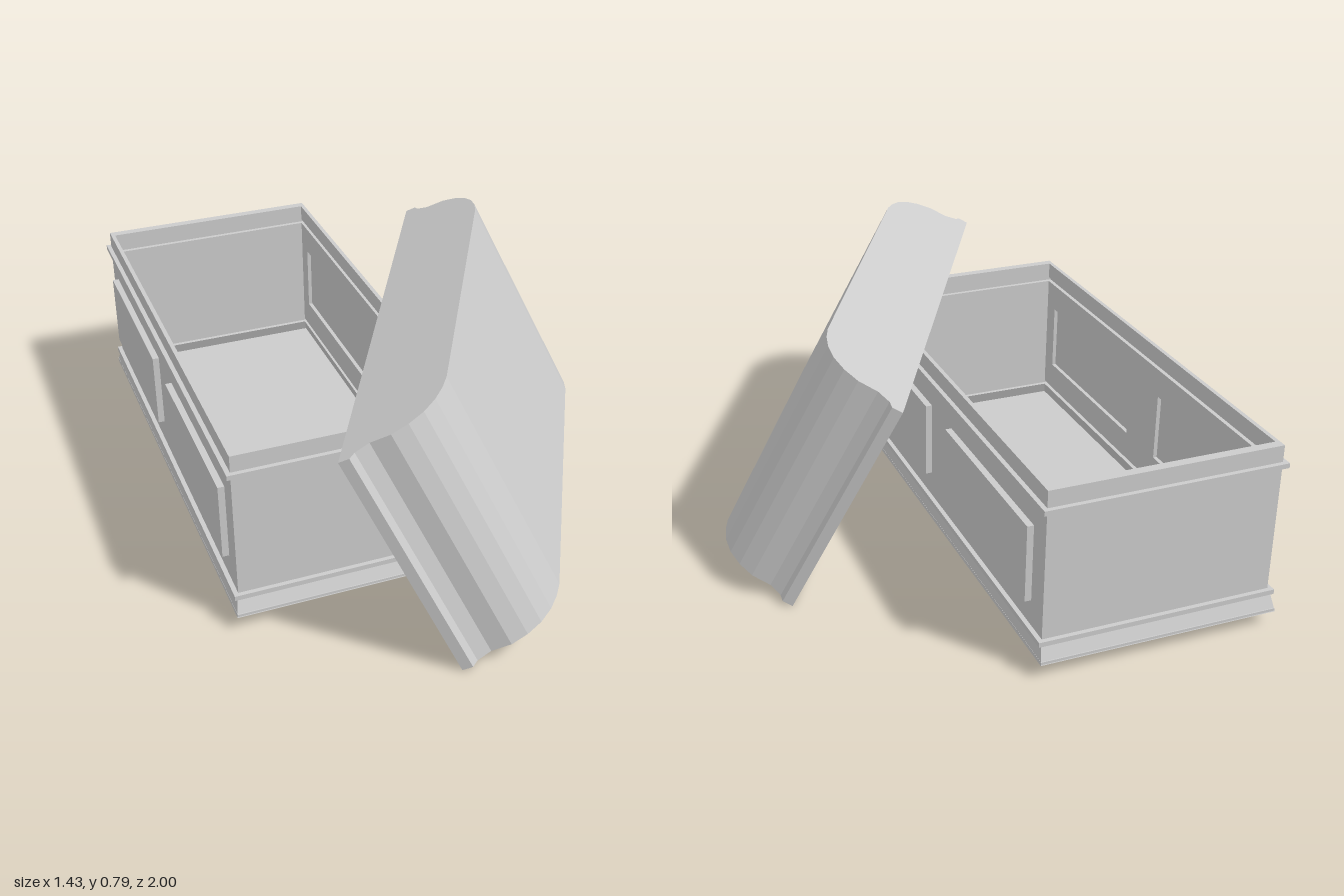
import * as THREE from 'three';

const material = new THREE.MeshStandardMaterial({ color: 0xcccccc, flatShading: true, side: THREE.DoubleSide });

function add(parent, name, geometry, x = 0, y = 0, z = 0) {
  const mesh = new THREE.Mesh(geometry, material);
  mesh.name = name;
  mesh.position.set(x, y, z);
  parent.add(mesh);
  return mesh;
}

// Joins rectangular rings [half width, half length, height] with flat faces.
function rectLoft(rings) {
  const positions = [];
  const signs = [[-1, 1], [1, 1], [1, -1], [-1, -1]];
  const corner = ([w, l, y], i) => [signs[i % 4][0] * w, y, signs[i % 4][1] * l];
  for (let r = 0; r < rings.length - 1; r++) {
    for (let i = 0; i < 4; i++) {
      const a = corner(rings[r], i), b = corner(rings[r], i + 1);
      const c = corner(rings[r + 1], i + 1), d = corner(rings[r + 1], i);
      positions.push(...a, ...b, ...c, ...a, ...c, ...d);
    }
  }
  const geometry = new THREE.BufferGeometry();
  geometry.setAttribute('position', new THREE.Float32BufferAttribute(positions, 3));
  geometry.computeVertexNormals();
  return geometry;
}

function rectangle(Type, cx, cy, hw, hh) {
  return new Type([[-1, -1], [1, -1], [1, 1], [-1, 1]].map(([a, b]) => new THREE.Vector2(cx + a * hw, cy + b * hh)));
}

function createChest() {
  const chest = new THREE.Group();
  chest.name = 'chest';
  const W = 0.358, L = 0.763;   // outer wall half sizes
  const w = 0.345, l = 0.735;   // inner wall half sizes

  // Flared base with its moulding, outside then inside
  add(chest, 'base', rectLoft([
    [0.372, 0.793, 0.045], [W + 0.006, L + 0.008, 0.095], [0.372, 0.777, 0.095], [0.372, 0.777, 0.11], [W, L, 0.11],
    [w, l, 0.11], [w + 0.013, l + 0.014, 0.11], [w + 0.013, l + 0.014, 0.095], [w, l, 0.095], [w + 0.01, l + 0.02, 0.05],
  ]));
  add(chest, 'floor', new THREE.BoxGeometry(0.742, 0.01, 1.584), 0, 0.05, 0);

  // Top rim with its moulding
  add(chest, 'rim', rectLoft([
    [W, L, 0.51], [0.372, 0.777, 0.51], [0.372, 0.777, 0.525], [W, L, 0.525], [W, L, 0.577],
    [w, l, 0.577], [w, l, 0.525], [w + 0.013, l + 0.014, 0.525], [w + 0.013, l + 0.014, 0.51], [w, l, 0.51], [W, L, 0.51],
  ]));

  // Long walls with raised panels that are hollow from inside
  for (const side of [-1, 1]) {
    const shape = rectangle(THREE.Shape, 0, 0.31, L, 0.2);
    for (const z of [-0.385, 0.385]) {
      shape.holes.push(rectangle(THREE.Path, z, 0.31, 0.292, 0.11));
      add(chest, 'sidePanel', new THREE.BoxGeometry(0.02, 0.24, 0.604), side * (W + 0.01), 0.31, z);
    }
    const wall = new THREE.ExtrudeGeometry(shape, { depth: W - w, bevelEnabled: false });
    wall.rotateY(Math.PI / 2);
    add(chest, 'sideWall', wall, side > 0 ? w : -W, 0, 0);
    // Short walls
    add(chest, 'endWall', new THREE.BoxGeometry(2 * w, 0.4, L - l), 0, 0.31, side * (L + l) / 2);
  }
  return chest;
}

function createLid() {
  const lid = new THREE.Group();
  lid.name = 'lid';
  const length = 1.585, width = 0.745, cap = 0.025;

  // Half profile of the dome: inset from the end, height
  const outer = [[0, 0], [0, 0.033], [0.022, 0.045], [0.045, 0.085], [0.047, 0.147], [0.07, 0.195],
    [0.105, 0.235], [0.15, 0.263], [0.2, 0.279], [0.25, 0.286]];
  const inner = [[0.035, 0], [0.045, 0.04], [0.075, 0.09], [0.08, 0.147], [0.125, 0.215], [0.17, 0.24], [0.25, 0.258]];
  const mirrored = (half) => [...half, ...half.map(([t, h]) => [length - t, h]).reverse()];
  const toShape = (points) => new THREE.Shape(points.map(([t, h]) => new THREE.Vector2(t, h)));
  const extrude = (points, depth) => new THREE.ExtrudeGeometry(toShape(points), { depth, bevelEnabled: false });

  add(lid, 'lidDome', extrude([...mirrored(outer), ...mirrored(inner).reverse()], width - 2 * cap), 0, 0, cap);
  add(lid, 'lidSide', extrude(mirrored(outer), cap));
  add(lid, 'lidSide', extrude(mirrored(outer), cap), 0, 0, width - cap);

  // Lean the lid on one long edge against the chest
  const along = new THREE.Vector3(0.475, 0, -0.88).normalize();
  const up = new THREE.Vector3(-0.396, 0.892, -0.215).normalize();
  const out = new THREE.Vector3().crossVectors(along, up).normalize();
  const basis = new THREE.Matrix4().makeBasis(along, out, up.clone().negate());
  lid.quaternion.setFromRotationMatrix(basis);
  lid.position.set(-0.17, 0, 0.975).addScaledVector(up, width);
  return lid;
}

export function createModel() {
  const model = new THREE.Group();
  model.name = 'openChest';
  const chest = createChest();
  chest.position.set(-0.328, 0, -0.207);
  model.add(chest, createLid());
  return model;
}
